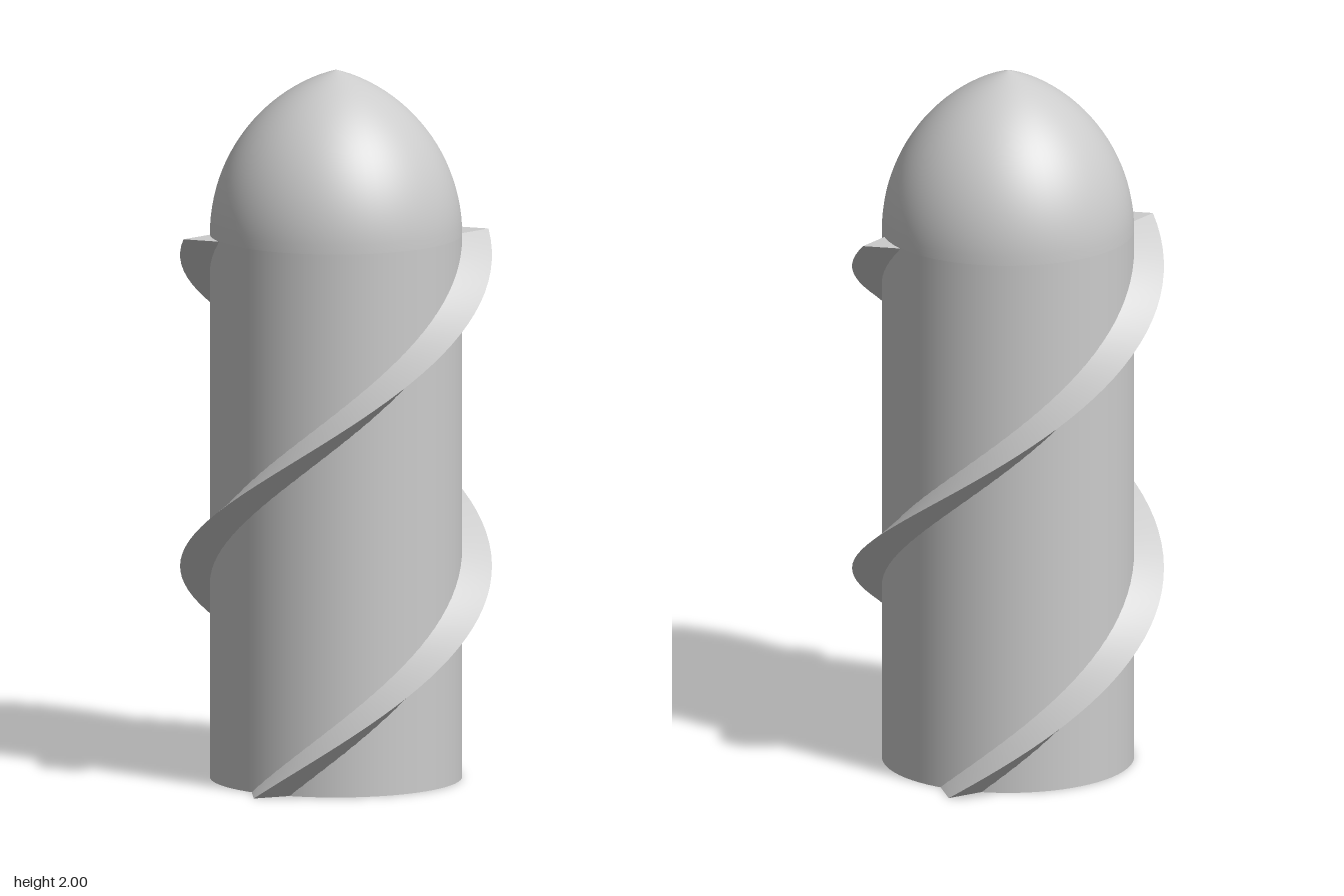
import * as THREE from 'three';
import { toCreasedNormals } from 'three/addons/utils/BufferGeometryUtils.js';

const RADIUS = 0.352, SHAFT = 1.535, HEIGHT = 2;
const PITCH = 1.76, CREST = 0.435, FRONT_Y = 1.163; // FRONT_Y: height where a ridge crosses the front

export function createModel() {
  const group = new THREE.Group();
  const material = new THREE.MeshStandardMaterial({ color: 0xcccccc });
  const add = (name, geometry) => {
    const mesh = new THREE.Mesh(geometry, material);
    mesh.name = name;
    group.add(mesh);
    return mesh;
  };

  // Straight shaft, closed underneath
  const shaft = new THREE.CylinderGeometry(RADIUS, RADIUS, SHAFT, 72);
  shaft.translate(0, SHAFT / 2, 0);
  add('shaft', shaft);

  // Pointed dome: circular arc tangent to the shaft wall
  const h = HEIGHT - SHAFT;
  const arc = (RADIUS * RADIUS + h * h) / (2 * RADIUS);
  const sweep = Math.asin(h / arc);
  const profile = [];
  for (let i = 0; i <= 24; i++) {
    const a = (sweep * i) / 24;
    profile.push(new THREE.Vector2(Math.max(0, RADIUS - arc * (1 - Math.cos(a))), SHAFT + arc * Math.sin(a)));
  }
  add('dome', new THREE.LatheGeometry(profile, 72));

  // Triangular ridge section, extruded upward and twisted around the shaft
  const section = new THREE.Shape([
    new THREE.Vector2(0.33, -0.0726),
    new THREE.Vector2(CREST, 0),
    new THREE.Vector2(0.33, 0.0726),
  ]);
  let ridge = new THREE.ExtrudeGeometry(section, { depth: SHAFT, steps: 64, bevelEnabled: false });
  ridge.rotateX(-Math.PI / 2);
  const p = ridge.attributes.position;
  const v = new THREE.Vector3(), up = new THREE.Vector3(0, 1, 0);
  for (let i = 0; i < p.count; i++) {
    v.fromBufferAttribute(p, i);
    v.applyAxisAngle(up, ((v.y - FRONT_Y) / PITCH) * Math.PI * 2 - Math.PI / 2);
    p.setXYZ(i, v.x, v.y, v.z);
  }
  ridge = toCreasedNormals(ridge, 0.5);

  // Two ridges, half a turn apart
  for (let i = 0; i < 2; i++) add(`spiralRidge${i + 1}`, ridge).rotation.y = i * Math.PI;

  return group;
}
